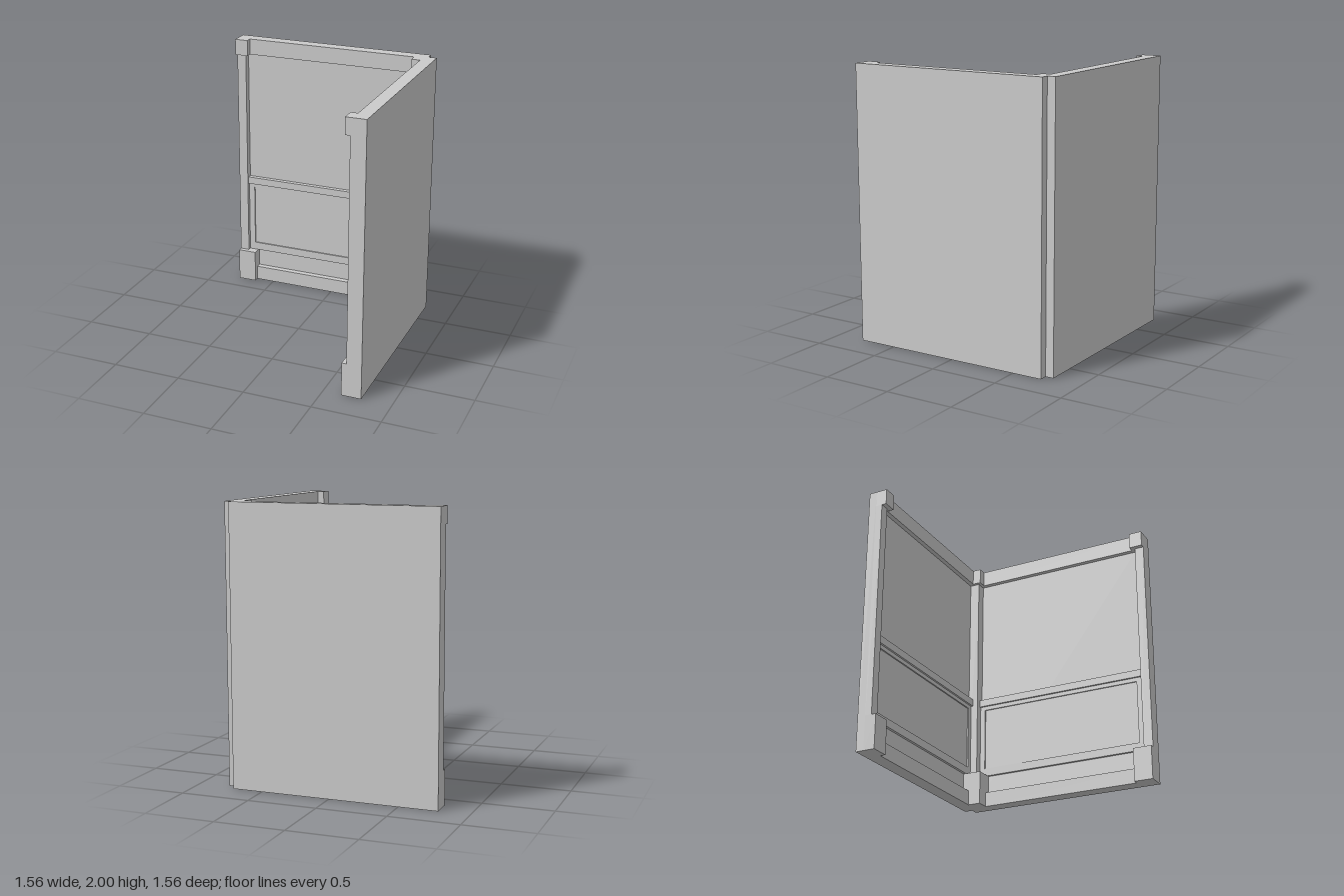
import * as THREE from 'three';

const material = new THREE.MeshStandardMaterial({ color: 0xcccccc, flatShading: true });

// Box given by its ranges along x, y and z
function block(parent, name, [x0, x1], [y0, y1], [z0, z1]) {
  const mesh = new THREE.Mesh(new THREE.BoxGeometry(x1 - x0, y1 - y0, z1 - z0), material);
  mesh.position.set((x0 + x1) / 2, (y0 + y1) / 2, (z0 + z1) / 2);
  mesh.name = name;
  parent.add(mesh);
}

const OUT = 0.78, FACE = 0.72; // outer and inner faces of the walls
const levels = [
  // y range, end post width limit, end post depth limit, corner post limit
  { name: 'Plinth', y: [0, 0.25], end: -0.64, depth: -0.635, corner: 0.58 },
  { name: 'Shaft', y: [0.25, 1.88], end: -0.71, depth: -0.67, corner: 0.645 },
  { name: 'Capital', y: [1.88, 2], end: -0.68, depth: -0.635, corner: 0.62 },
];

// One panelled wall; the side wall swaps the axes across the corner diagonal
function buildWall(name, mirrored) {
  const wall = new THREE.Group();
  wall.name = name;
  const add = (part, x, y, z) => mirrored
    ? block(wall, part, [-z[1], -z[0]], y, [-x[1], -x[0]])
    : block(wall, part, x, y, z);

  add('wallSlab', [-OUT, FACE], [0, 2], [-OUT, -FACE]);
  for (const l of levels) add('endPost' + l.name, [-OUT, l.end], l.y, [-FACE, l.depth]);

  // Cornice, chair rail and skirting between the posts
  add('cornice', [-0.68, 0.62], [1.88, 2], [-FACE, -0.685]);
  add('chairRail', [-0.71, 0.645], [0.82, 0.875], [-FACE, -0.685]);
  add('skirting', [-0.64, 0.58], [0, 0.11], [-FACE, -0.675]);

  // Wainscot frame around a recessed field
  const z = [-FACE, -0.7];
  add('frameTopRail', [-0.71, 0.645], [0.79, 0.82], z);
  add('frameBottomRail', [-0.71, 0.645], [0.25, 0.31], z);
  add('frameLeftStile', [-0.71, -0.665], [0.31, 0.79], z);
  add('frameRightStile', [0.605, 0.645], [0.31, 0.79], z);
  add('recessedField', [-0.665, 0.605], [0.31, 0.79], [-FACE, -0.71]);
  return wall;
}

export function createModel() {
  const model = new THREE.Group();
  model.name = 'panelledWallCorner';
  model.add(buildWall('backWall', false), buildWall('sideWall', true));

  // Post filling the inner corner
  const post = new THREE.Group();
  post.name = 'cornerPost';
  for (const l of levels)
    block(post, 'cornerPost' + l.name, [l.corner, FACE], l.y, [-FACE, -l.corner]);
  model.add(post);
  return model;
}
